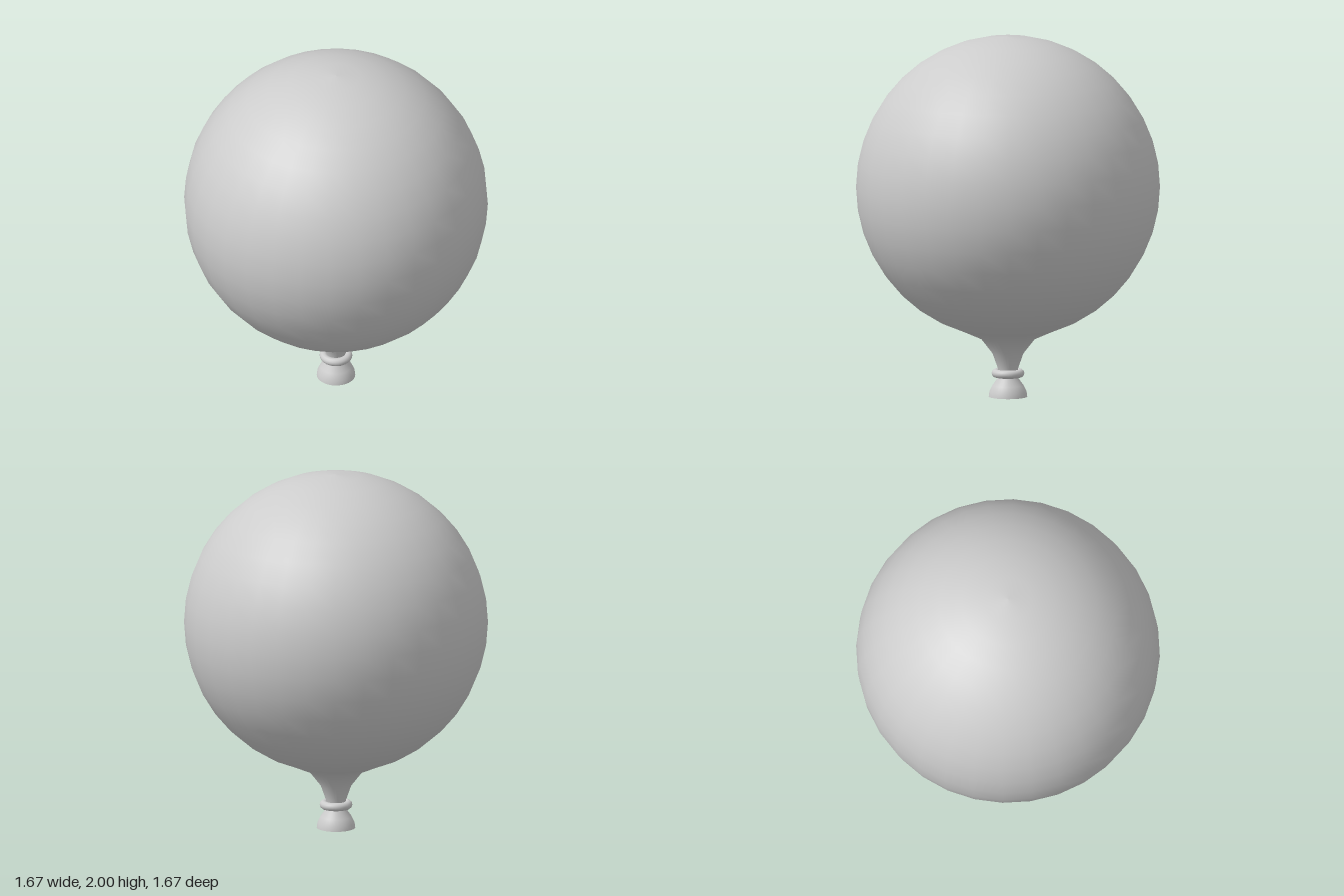
import * as THREE from 'three';

const SIDES = 32;
const RADIUS = 0.835;
const CENTRE_Y = 1.165;

function lathe(name, points, material) {
  const profile = points.map(([r, y]) => new THREE.Vector2(r, y));
  const mesh = new THREE.Mesh(new THREE.LatheGeometry(profile, SIDES), material);
  mesh.name = name;
  return mesh;
}

export function createModel() {
  const model = new THREE.Group();
  model.name = 'balloon';
  const rubber = new THREE.MeshStandardMaterial({ color: 0xcccccc });
  rubber.name = 'grey rubber';

  // Round body drawn down into a flared neck
  const body = [[0.05, 0.12], [0.055, 0.155], [0.085, 0.24], [0.15, 0.323]];
  for (let i = 2; i <= 20; i++) {
    const a = (i * Math.PI) / 20;
    body.push([i === 20 ? 0 : RADIUS * Math.sin(a), CENTRE_Y - RADIUS * Math.cos(a)]);
  }
  model.add(lathe('body', body, rubber));

  // Rolled ring tied around the neck
  const ring = new THREE.Mesh(new THREE.TorusGeometry(0.067, 0.023, 12, SIDES), rubber);
  ring.name = 'knotRing';
  ring.rotation.x = Math.PI / 2;
  ring.position.y = 0.13;
  model.add(ring);

  // Flared mouth below the ring
  model.add(lathe('mouth', [
    [0.106, 0], [0.102, 0.028], [0.086, 0.062], [0.055, 0.105], [0.05, 0.13],
  ], rubber));

  // Flat underside closing the mouth
  const base = new THREE.Mesh(new THREE.CircleGeometry(0.106, SIDES), rubber);
  base.name = 'mouthBase';
  base.rotation.x = Math.PI / 2;
  model.add(base);

  return model;
}
